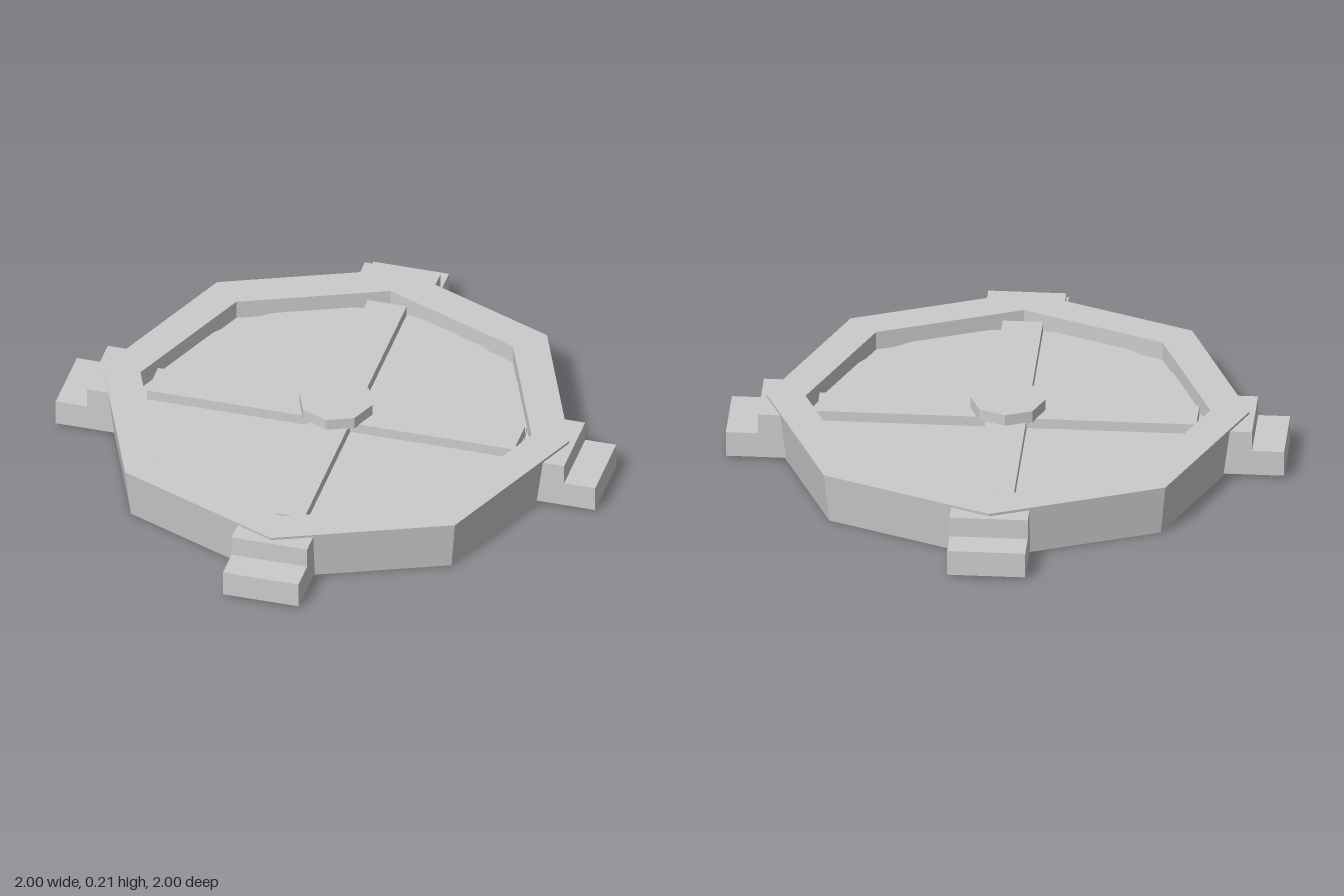
import * as THREE from 'three';

export function createModel() {
  const model = new THREE.Group();
  const material = new THREE.MeshStandardMaterial({ color: 0xcccccc, flatShading: true });

  const add = (name, geometry, parent = model) => {
    const mesh = new THREE.Mesh(geometry, material);
    mesh.name = name;
    parent.add(mesh);
    return mesh;
  };

  // Octagonal tray: tapered outer wall, raised rim and recessed floor
  const profile = [
    [0, 0], [0.84, 0], [0.865, 0.19], [0.725, 0.19], [0.725, 0.12], [0, 0.12],
  ].map(([r, y]) => new THREE.Vector2(r, y));
  add('octagonalBody', new THREE.LatheGeometry(profile, 8));

  // Round plate lying in the recess
  add('floorPlate', new THREE.CylinderGeometry(0.69, 0.69, 0.03, 24)).position.y = 0.115;

  // Crossed bars and central hub
  add('crossBarX', new THREE.BoxGeometry(1.36, 0.06, 0.145)).position.y = 0.138;
  add('crossBarZ', new THREE.BoxGeometry(0.145, 0.06, 1.36)).position.y = 0.138;
  add('hub', new THREE.CylinderGeometry(0.135, 0.135, 0.045, 8)).position.y = 0.1875;

  // Stepped lug section, drawn as (radius, height) and extruded across its width
  const step = new THREE.Shape([
    [0.75, 0.01], [1, 0.01], [1, 0.105], [0.885, 0.105], [0.885, 0.18], [0.75, 0.18],
  ].map(([r, y]) => new THREE.Vector2(r, y)));
  const lugGeometry = new THREE.ExtrudeGeometry(step, { depth: 0.28, bevelEnabled: false });
  lugGeometry.translate(0, 0, -0.14);

  ['leftLug', 'backLug', 'rightLug', 'frontLug'].forEach((name, i) => {
    add(name, lugGeometry).rotation.y = (i * Math.PI) / 2;
  });

  return model;
}
